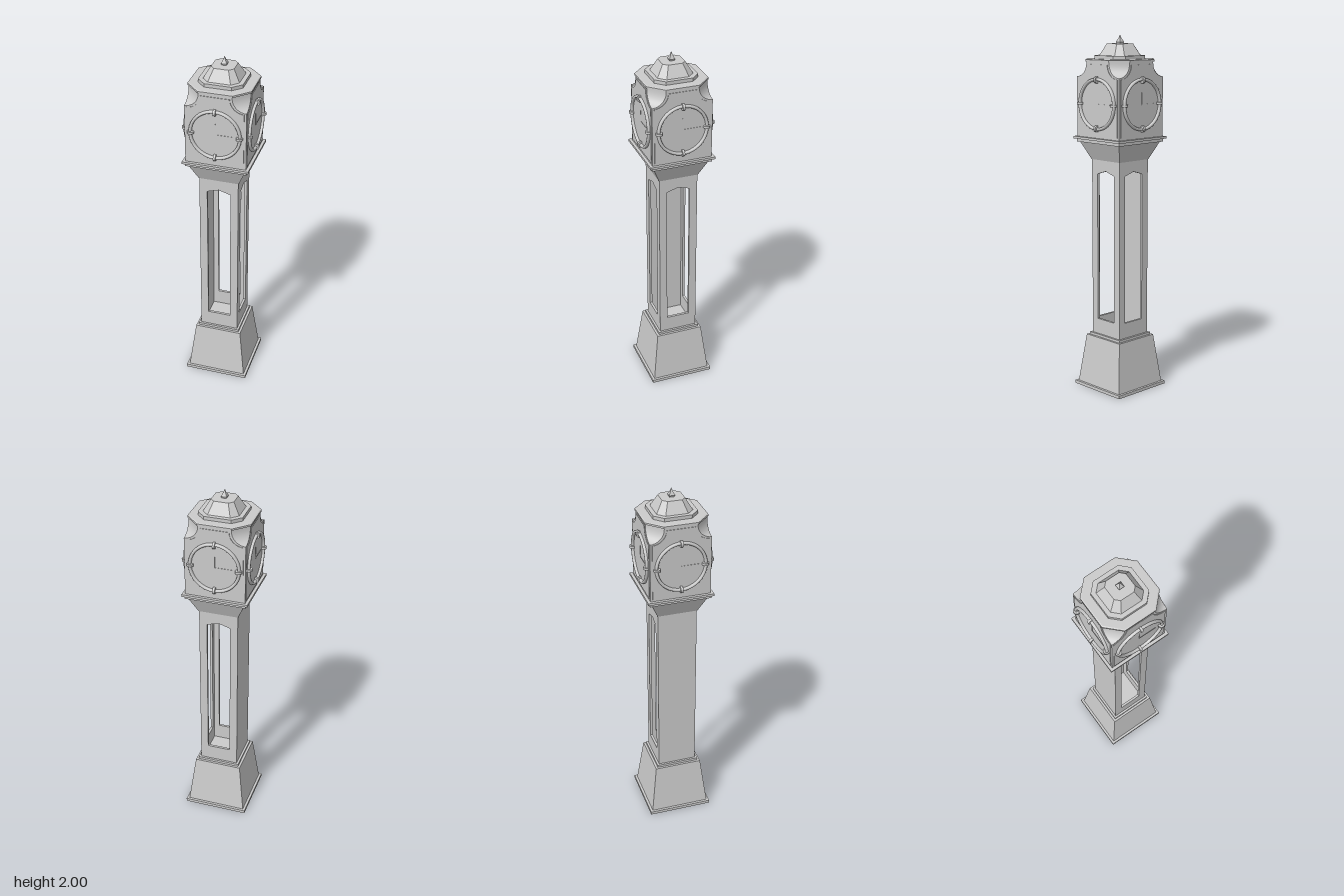
import * as THREE from 'three';
import { toCreasedNormals } from 'three/addons/utils/BufferGeometryUtils.js';

const grey = new THREE.MeshStandardMaterial({ color: 0xcccccc, side: THREE.DoubleSide });

function add(parent, name, geometry) {
  const mesh = new THREE.Mesh(geometry, grey);
  mesh.name = name;
  parent.add(mesh);
  return mesh;
}

// Corners of a square of half width h whose corners are cut back by c
function corners(h, c, y) {
  const k = h - c;
  return [[h, k], [k, h], [-k, h], [-h, k], [-h, -k], [-k, -h], [k, -h], [h, -k]]
    .map(([x, z]) => new THREE.Vector3(x, y, z));
}

// Stacks cut-corner squares given as [y, half width, corner cut]
function loft(sections, openBottom = false) {
  const rings = sections.map(([y, h, c = 0]) => corners(h, c, y));
  const pos = [];
  const tri = (a, b, c) => {
    if (a.distanceTo(b) > 1e-6 && b.distanceTo(c) > 1e-6 && c.distanceTo(a) > 1e-6)
      pos.push(...a.toArray(), ...b.toArray(), ...c.toArray());
  };
  const last = rings.length - 1;
  const low = new THREE.Vector3(0, sections[0][0], 0);
  const high = new THREE.Vector3(0, sections[last][0], 0);
  for (let i = 0; i < 8; i++) {
    const j = (i + 1) % 8;
    for (let r = 0; r < last; r++) {
      tri(rings[r][i], rings[r + 1][i], rings[r + 1][j]);
      tri(rings[r][i], rings[r + 1][j], rings[r][j]);
    }
    if (!openBottom) tri(low, rings[0][i], rings[0][j]);
    tri(high, rings[last][j], rings[last][i]);
  }
  const geo = new THREE.BufferGeometry();
  geo.setAttribute('position', new THREE.Float32BufferAttribute(pos, 3));
  geo.computeVertexNormals();
  return toCreasedNormals(geo, 0.35);
}

const polygon = (pts, Type = THREE.Shape) => new Type(pts.map(([x, y]) => new THREE.Vector2(x, y)));
const rect = (w, y0, y1) => [[-w, y0], [w, y0], [w, y1], [-w, y1]];
const extrude = (shape, depth) => new THREE.ExtrudeGeometry(shape, { depth, bevelEnabled: false });

// Concave cut at the upper corners of the head, as [y, cut]
const cove = Array.from({ length: 9 }, (_, i) => {
  const a = (i / 8) * Math.PI / 2;
  return [1.775 + 0.075 * (1 - Math.cos(a)), 0.077 * Math.sin(a)];
});

// Clock face for the front of the head
function createDial() {
  const dial = new THREE.Group();
  dial.name = 'clockFace';

  // Raised panel following the outline of the head
  const w = 0.155;
  const side = [[w, 1.457], ...cove.map(([y, c]) => [w - c, y - 0.006])];
  const outline = [...side, ...side.map(([x, y]) => [-x, y]).reverse()];
  add(dial, 'facePanel', extrude(polygon(outline), 0.003)).position.z = 0.167;

  const clock = new THREE.Group();
  clock.name = 'clock';
  clock.position.set(0, 1.63, 0.168);
  dial.add(clock);

  // Rounded bezel ring
  const profile = [[0.143, 0], [0.143, 0.01], [0.14, 0.015], [0.135, 0.016], [0.13, 0.015], [0.127, 0.01], [0.127, 0]];
  const ring = new THREE.LatheGeometry(profile.map(p => new THREE.Vector2(...p)).reverse(), 48);
  add(clock, 'bezel', ring.rotateX(Math.PI / 2));

  // Clips over the bezel at the quarter hours
  for (let i = 0; i < 4; i++) {
    const a = i * Math.PI / 2;
    const clip = add(clock, 'bezelClip', new THREE.CylinderGeometry(0.018, 0.018, 0.013, 20));
    clip.position.set(0.132 * Math.cos(a), 0.132 * Math.sin(a), 0.007);
    clip.rotation.z = a;
  }

  // Hands
  add(clock, 'hourHand', new THREE.BoxGeometry(0.004, 0.065, 0.002)).position.set(0, 0.032, 0.003);
  add(clock, 'minuteHand', new THREE.BoxGeometry(0.1, 0.004, 0.002)).position.set(0.05, 0, 0.003);
  return dial;
}

export function createModel() {
  const model = new THREE.Group();
  model.name = 'clockTower';

  // Hollow base with a footing frame
  const footing = polygon(rect(0.183, -0.183, 0.183));
  footing.holes.push(polygon(rect(0.168, -0.168, 0.168), THREE.Path));
  add(model, 'footing', extrude(footing, 0.018).rotateX(-Math.PI / 2));
  add(model, 'base', loft([[0.01, 0.17], [0.298, 0.135]], true));
  add(model, 'baseTrim', loft([[0.298, 0.122], [0.312, 0.122]]));

  // Hollow shaft: windows on three sides, plain wall on the right
  const t = 0.014, half = 0.11;
  for (let i = 0; i < 4; i++) {
    const wall = polygon(rect(i % 2 ? half - t : half, 0.312, 1.318));
    if (i < 3) {
      const opening = [[-0.066, 0.4], [0.066, 0.4], [0.066, 1.237], [0, 1.257], [-0.066, 1.237]];
      wall.holes.push(polygon(opening, THREE.Path));
    }
    const geo = extrude(wall, t).translate(0, 0, half - t);
    add(model, 'shaftWall', geo).rotation.y = i * Math.PI / 2;
  }

  // Flared neck and ledges
  add(model, 'neck', loft([[1.316, 0.112], [1.415, 0.157]]));
  add(model, 'lowerLedge', loft([[1.415, 0.17], [1.432, 0.17]]));
  add(model, 'upperLedge', loft([[1.432, 0.183], [1.445, 0.183]]));

  // Head with coved upper corners and a clock on every side
  add(model, 'head', loft([[1.445, 0.167], ...cove.map(([y, c]) => [y, 0.167, c]), [1.86, 0.167, 0.077]]));
  for (let i = 0; i < 4; i++) {
    const dial = createDial();
    dial.rotation.y = i * Math.PI / 2;
    model.add(dial);
  }

  // Roof
  add(model, 'cornice', loft([[1.858, 0.172, 0.079], [1.868, 0.172, 0.079], [1.871, 0.166, 0.077]]));
  add(model, 'roofStep', loft([[1.871, 0.121, 0.047], [1.89, 0.121, 0.047]]));
  add(model, 'roof', loft([[1.89, 0.098, 0.037], [1.953, 0.062, 0.023]]));
  add(model, 'finial', loft([[1.953, 0.013], [1.962, 0.016], [1.982, 0.006], [2, 0.0005]]));
  return model;
}
